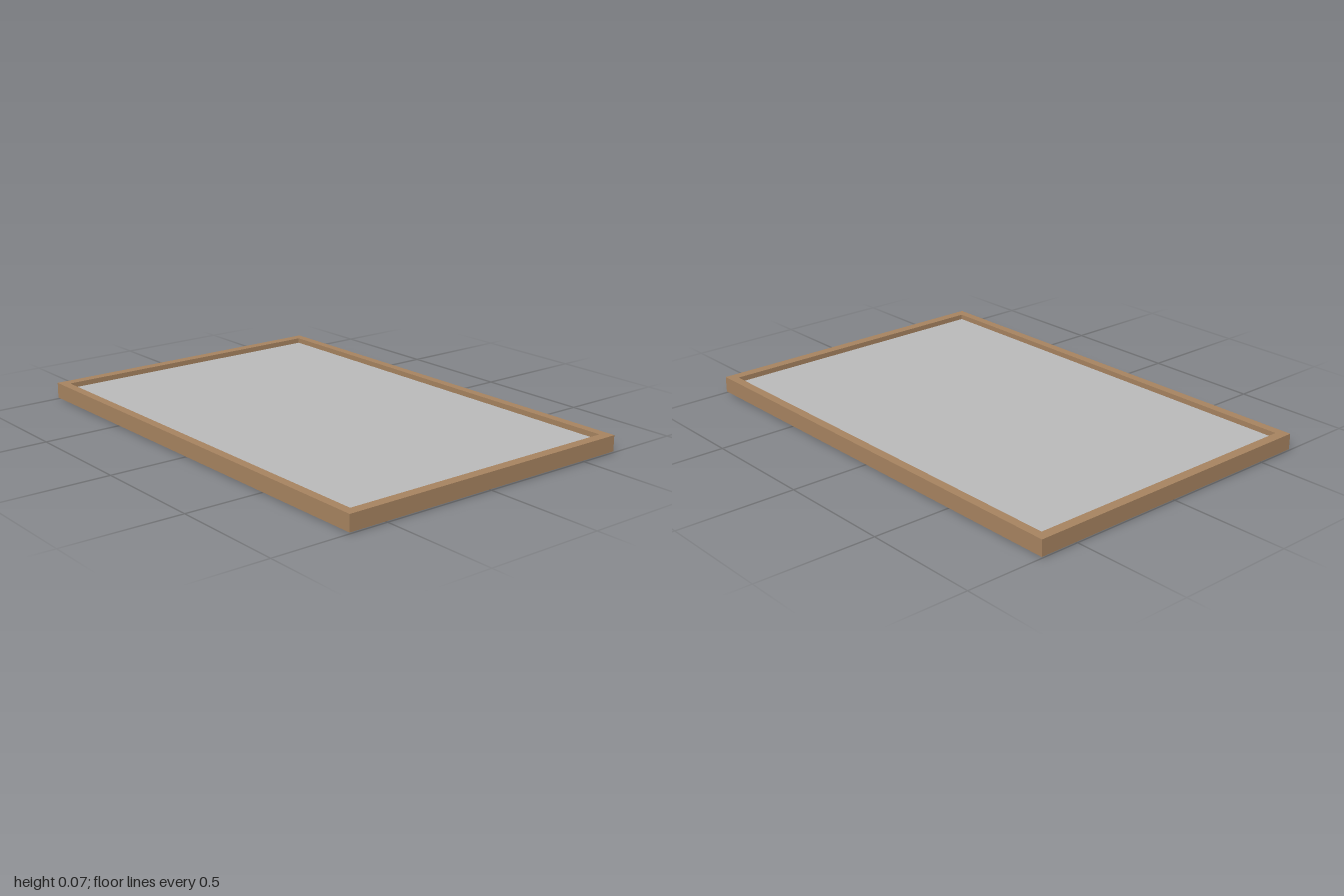
import * as THREE from 'three';

const wood = new THREE.MeshStandardMaterial({ color: 0xa5825f });
wood.name = 'wood';
const grey = new THREE.MeshStandardMaterial({ color: 0xb8b8b8 });
grey.name = 'pane grey';
const black = new THREE.MeshStandardMaterial({ color: 0x080808 });
black.name = 'black metal';

// Rectangle outline, given half sizes
function outline(path, w, d) {
  path.moveTo(-w, -d);
  path.lineTo(w, -d);
  path.lineTo(w, d);
  path.lineTo(-w, d);
  path.closePath();
  return path;
}

// Flat shape in x and z, thickened from y0 up to y1
function slab(name, shape, y0, y1, material) {
  const geo = new THREE.ExtrudeGeometry(shape, { depth: y1 - y0, bevelEnabled: false });
  geo.rotateX(-Math.PI / 2);
  geo.translate(0, y0, 0);
  const mesh = new THREE.Mesh(geo, material);
  mesh.name = name;
  return mesh;
}

function rectRing(w, d, innerW, innerD) {
  const shape = outline(new THREE.Shape(), w, d);
  shape.holes.push(outline(new THREE.Path(), innerW, innerD));
  return shape;
}

// Hanger strip with a toothed edge
function hangerShape(length, depth, teeth) {
  const s = new THREE.Shape();
  const step = length / teeth;
  s.moveTo(-length / 2, depth / 2);
  s.lineTo(-length / 2, -depth / 2);
  for (let i = 0; i < teeth; i++) {
    const x = -length / 2 + i * step;
    s.lineTo(x + step / 2, -depth / 6);
    s.lineTo(x + step, -depth / 2);
  }
  s.lineTo(length / 2, depth / 2);
  s.closePath();
  return s;
}

export function createModel() {
  const model = new THREE.Group();
  model.name = 'pictureFrame';

  // Frame: wide front lip above a thinner rim that holds the backing
  const frame = new THREE.Group();
  frame.name = 'frame';
  frame.add(slab('frontLip', rectRing(0.67, 1, 0.632, 0.957), 0.05, 0.072, wood));
  frame.add(slab('rim', rectRing(0.67, 1, 0.655, 0.985), 0.005, 0.05, wood));
  model.add(frame);

  // Pane and backing board, recessed on both sides
  model.add(slab('pane', outline(new THREE.Shape(), 0.655, 0.985), 0.042, 0.05, grey));
  model.add(slab('backingBoard', outline(new THREE.Shape(), 0.655, 0.985), 0.022, 0.042, wood));

  // Toothed hangers on the backing
  for (const [x, z] of [[0.02, -0.79], [-0.44, -0.02]]) {
    const hanger = slab('hanger', hangerShape(0.18, 0.024, 9), 0.016, 0.022, black);
    hanger.position.set(x, 0, z);
    model.add(hanger);
  }

  // Small clips around the rim
  const clipGeo = new THREE.BoxGeometry(0.012, 0.022, 0.027);
  const clipSpots = [
    [0.657, -0.49], [0.657, 0.49], [-0.638, -0.49], [-0.638, 0.49],
    [0.01, -0.978], [0.01, 0.975],
  ];
  for (const [x, z] of clipSpots) {
    const clip = new THREE.Mesh(clipGeo, black);
    clip.name = 'clip';
    clip.position.set(x, 0.011, z);
    model.add(clip);
  }
  return model;
}
